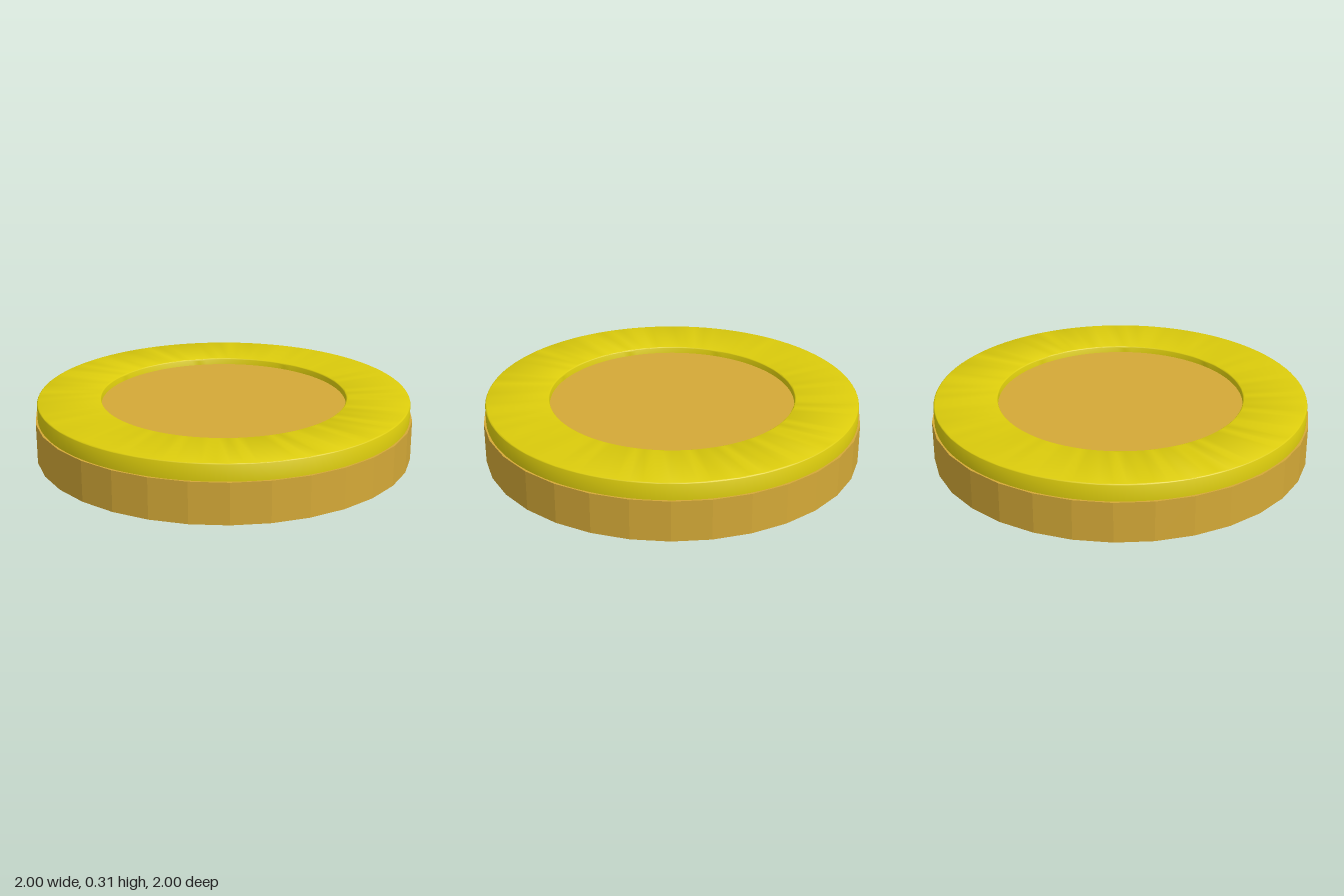
import * as THREE from 'three';
import { toCreasedNormals } from 'three/addons/utils/BufferGeometryUtils.js';

export function createModel() {
  const group = new THREE.Group();
  const gold = new THREE.MeshStandardMaterial({ color: 0xd4a937, flatShading: true });
  const yellow = new THREE.MeshStandardMaterial({ color: 0xdccc0c });

  const add = (name, geometry, material, y = 0) => {
    const mesh = new THREE.Mesh(geometry, material);
    mesh.name = name;
    mesh.position.y = y;
    group.add(mesh);
  };

  // Faceted base drum
  const baseTop = 0.215;
  add('base', new THREE.CylinderGeometry(1, 1, baseTop, 32), gold, baseTop / 2);

  // Smooth raised rim with softly rounded top edges
  const outer = 0.987, inner = 0.65, top = 0.305, r = 0.01;
  const profile = [[inner, baseTop - 0.005], [outer, baseTop - 0.005]];
  const steps = 4;
  for (let i = 0; i <= steps; i++) {
    const a = (i / steps) * Math.PI / 2;
    profile.push([outer - r + r * Math.cos(a), top - r + r * Math.sin(a)]);
  }
  for (let i = 0; i <= steps; i++) {
    const a = (i / steps) * Math.PI / 2;
    profile.push([inner + r - r * Math.sin(a), top - r + r * Math.cos(a)]);
  }
  profile.push(profile[0]);
  const rim = new THREE.LatheGeometry(profile.map(([x, y]) => new THREE.Vector2(x, y)), 96);
  add('rim', toCreasedNormals(rim, Math.PI / 5), yellow);

  // Recessed centre disc
  const discTop = 0.27;
  add('centreDisc', new THREE.CylinderGeometry(inner + 0.005, inner + 0.005, discTop - baseTop, 96),
    gold, (discTop + baseTop) / 2);

  return group;
}
